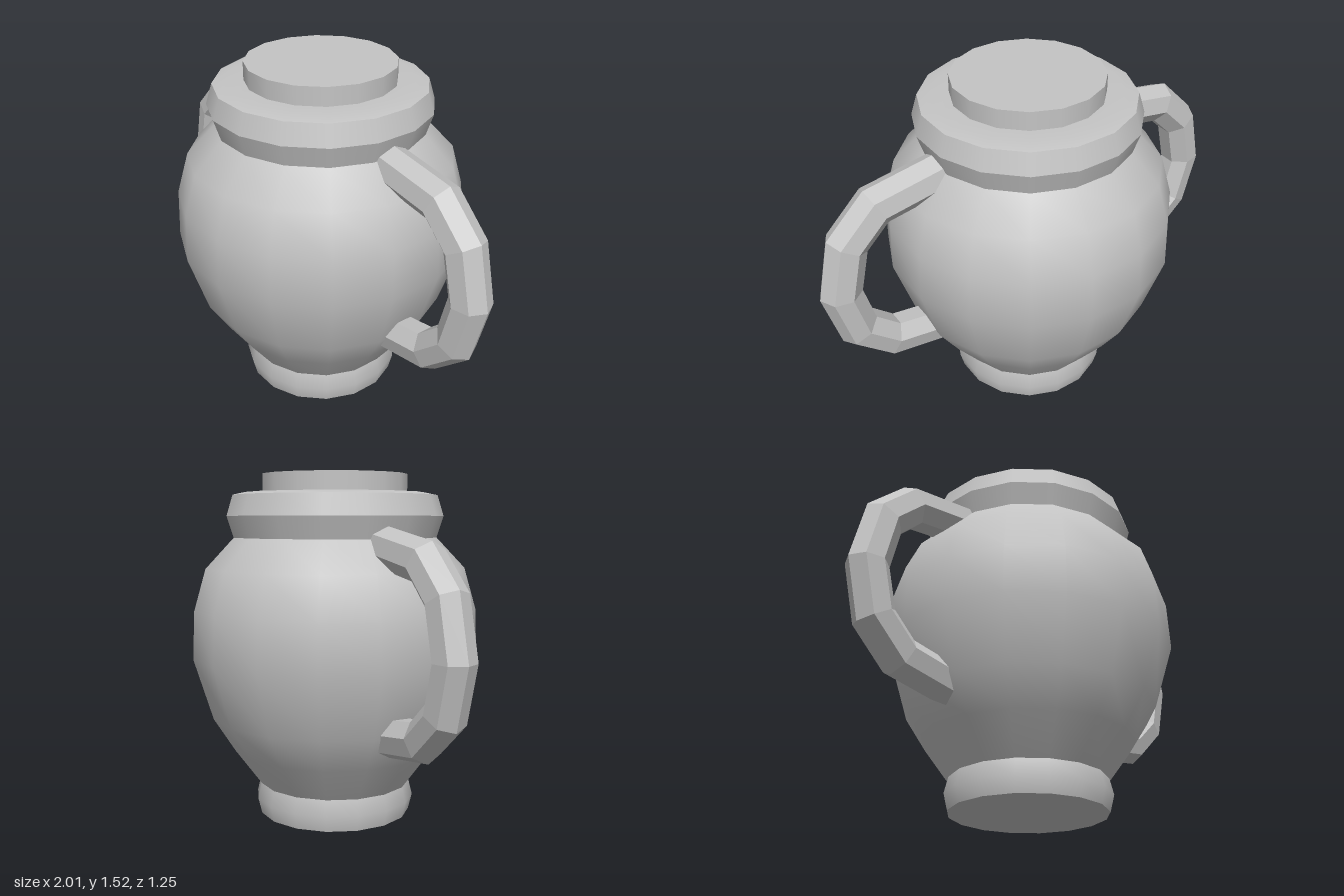
import * as THREE from 'three';

const SIDES = 16;
const APOTHEM = Math.cos(Math.PI / SIDES);

// Turned band with smooth normals; radii are given across the flats
function turned(name, profile, material) {
  const points = profile.map(([r, y]) => new THREE.Vector2(r / APOTHEM, y));
  const mesh = new THREE.Mesh(
    new THREE.LatheGeometry(points, SIDES, Math.PI / SIDES), material);
  mesh.name = name;
  return mesh;
}

// Seven-sided bar swept along a path in the xy plane, mitred at each bend
function handleGeometry(path, radius, sides) {
  const pts = path.map(([x, y]) => new THREE.Vector2(x, y));
  const positions = [];
  const index = [];
  pts.forEach((p, i) => {
    const before = p.clone().sub(pts[Math.max(i - 1, 0)]).normalize();
    const after = pts[Math.min(i + 1, pts.length - 1)].clone().sub(p).normalize();
    const t = before.clone().add(after).normalize();
    const miter = 1 / Math.max(t.dot(before), t.dot(after));
    for (let j = 0; j < sides; j++) {
      const a = (j / sides) * Math.PI * 2;
      const out = Math.cos(a) * radius * miter;
      positions.push(p.x - t.y * out, p.y + t.x * out, Math.sin(a) * radius);
    }
  });
  for (let i = 0; i < pts.length - 1; i++) {
    for (let j = 0; j < sides; j++) {
      const k = (j + 1) % sides;
      const a = i * sides + j, b = i * sides + k;
      index.push(a, b, a + sides, b, b + sides, a + sides);
    }
  }
  // End caps
  const last = (pts.length - 1) * sides;
  for (let j = 1; j < sides - 1; j++) {
    index.push(0, j + 1, j, last, last + j, last + j + 1);
  }
  const indexed = new THREE.BufferGeometry();
  indexed.setAttribute('position', new THREE.Float32BufferAttribute(positions, 3));
  indexed.setIndex(index);
  const geometry = indexed.toNonIndexed();
  geometry.computeVertexNormals();
  return geometry;
}

export function createModel() {
  const group = new THREE.Group();
  group.name = 'twoHandledJar';
  const clay = new THREE.MeshStandardMaterial({ color: 0xc4c4c4 });
  clay.name = 'grey clay';

  // Jar, from the base up; each band is separate to keep its edges sharp
  const bands = {
    base: [[0, 0], [0.335, 0]],
    foot: [[0.335, 0], [0.352, 0.07], [0.335, 0.14]],
    body: [[0.335, 0.14], [0.45, 0.3], [0.543, 0.45], [0.625, 0.72],
      [0.616, 0.93], [0.565, 1.11], [0.443, 1.242]],
    collarLower: [[0.443, 1.242], [0.472, 1.335]],
    collarUpper: [[0.472, 1.335], [0.445, 1.425]],
    collarTop: [[0.445, 1.425], [0.39, 1.437], [0.3, 1.437]],
    lidSide: [[0.315, 1.43], [0.315, 1.517]],
    lidTop: [[0.315, 1.517], [0, 1.517]],
  };
  for (const [name, profile] of Object.entries(bands)) {
    group.add(turned(name, profile, clay));
  }

  // Handles
  const geometry = handleGeometry([
    [0.42, 1.212], [0.725, 1.162], [0.862, 1.03], [0.915, 0.81],
    [0.862, 0.6], [0.725, 0.476], [0.42, 0.428],
  ], 0.086, 7);
  for (const [name, turn] of [['leftHandle', 0], ['rightHandle', Math.PI]]) {
    const handle = new THREE.Mesh(geometry, clay);
    handle.name = name;
    handle.rotation.y = turn;
    group.add(handle);
  }
  return group;
}
